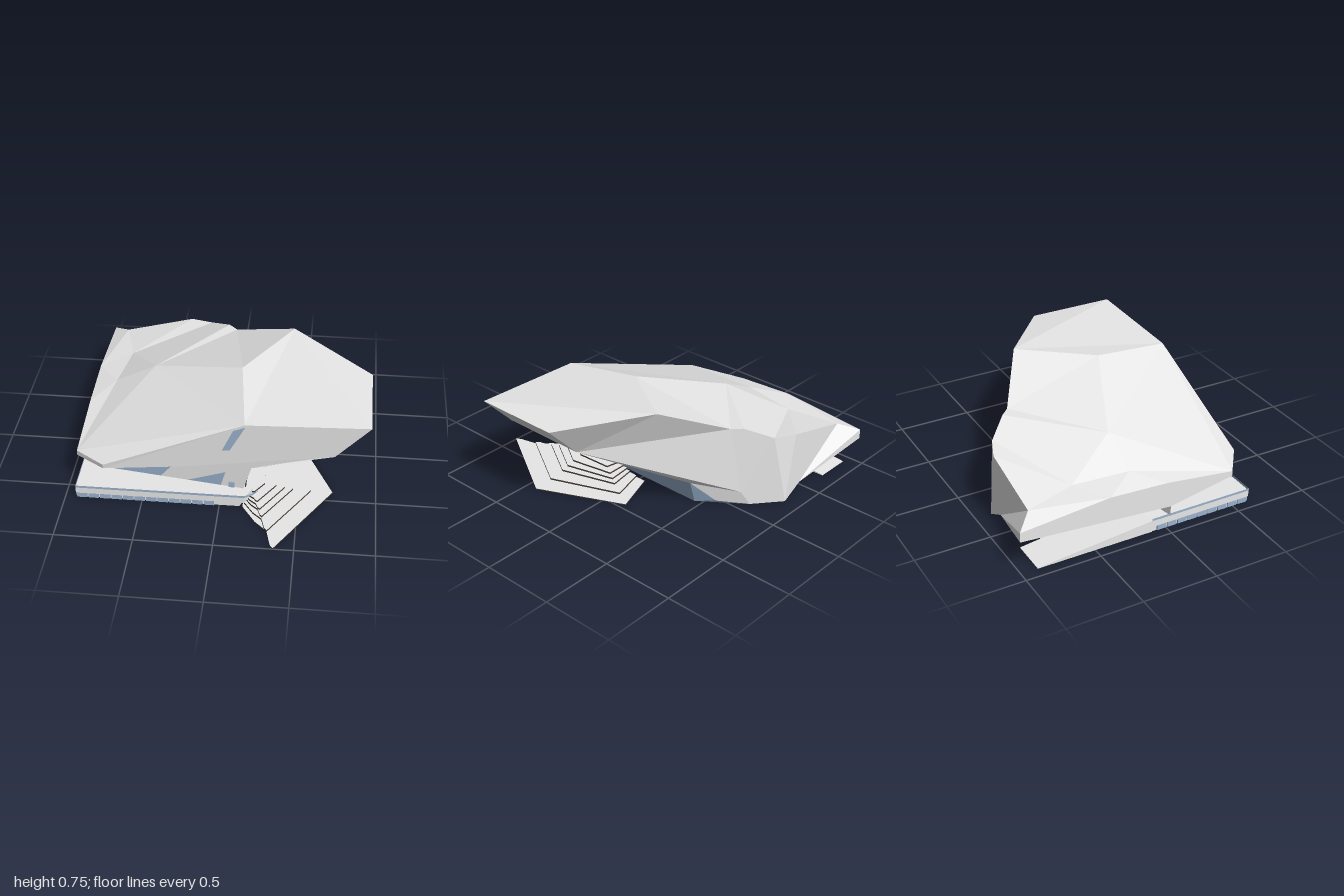
import * as THREE from 'three';

const mat = (name, color) => {
  const m = new THREE.MeshStandardMaterial({ color, side: THREE.DoubleSide });
  m.name = name;
  return m;
};

// The front wall stands upright but runs back towards the right flank
const wall = (x, y) => [x, y, 0.505 + 0.145 * x];

// Shared corner points of the faceted shell and the walls below it
const P = {
  // upper surface
  A: [0.935, 0.68, 0.03], B: [0.935, 0.68, 0.625], C: [0.16, 0.655, 0.628],
  E2: [0.41, 0.745, -0.38], E3: [0, 0.56, -0.63], E6: [-0.06, 0.56, -0.69],
  E4: [-0.2, 0.485, -0.83], E5: [-0.35, 0.47, -0.89],
  M1: [-0.51, 0.52, -0.18], M2: [0.1, 0.72, 0.09], N: [-0.73, 0.37, -0.55], N1: [-0.78, 0.385, -0.18],
  K: [-0.82, 0.35, -0.89], T: [-0.935, 0.295, -1], W1: [-0.935, 0.35, -0.4], W2: [-0.935, 0.33, 0],
  F: [-0.935, 0.27, 0.48], H: [-0.74, 0.28, 0.625],
  // lower rim
  B0: [0.72, 0.45, 0.622], L: [0.72, 0.45, 0.02], V: [-0.22, 0.305, 0.622], H0: [-0.74, 0.25, 0.622],
  F0: [-0.935, 0.235, 0.48], X: [-0.935, 0.15, 0.03], T0: [-0.935, 0.23, -1], Q: [-0.42, 0.08, -0.89],
  G: [-0.27, 0, -0.89], G2: [-0.09, 0, -0.74], R: [-0.04, 0.1, -0.7],
  // wall heads
  B1: wall(0.72, 0.45), V1: wall(-0.22, 0.305), S1: wall(-0.76, 0.25), U0: wall(0.2, 0.26),
  U1: [0.2, 0.26, 0.45], U2: [0.2, 0.26, -0.02], U3: [0.17, 0.16, -0.45], U4: [0.05, 0.02, -0.57],
  S2: [-0.76, 0.15, 0], S3: [-0.66, 0.17, -0.74], S4: [-0.36, 0.1, -0.78],
  // wall feet and glazing corners
  D: wall(0.148, 0.08), D1: wall(0.174, 0.17), d0: wall(0, 0.08), g: wall(0.03, 0.19),
  e: wall(-0.22, 0.08), f: wall(-0.4, 0.08), f0: wall(-0.76, 0.08),
  p1: [0.174, 0.17, 0.45], p0: [0.142, 0.06, 0.45],
  b1: [0.125, 0, 0.45], b2: [0.125, 0, -0.02], b3: [0.123, 0, -0.45],
  s2: [-0.76, 0.04, 0], x2: [-0.93, 0.06, 0.03], s3: [-0.66, 0, -0.74],
};

// Flat-shaded mesh from polygons, each fanned from its first corner
function facets(name, polygons, material) {
  const pos = [];
  for (const poly of polygons) {
    const c = typeof poly === 'string' ? poly.split(' ').map((k) => P[k]) : poly;
    for (let i = 1; i < c.length - 1; i++) pos.push(...c[0], ...c[i], ...c[i + 1]);
  }
  const geo = new THREE.BufferGeometry();
  geo.setAttribute('position', new THREE.Float32BufferAttribute(pos, 3));
  geo.computeVertexNormals();
  const mesh = new THREE.Mesh(geo, material);
  mesh.name = name;
  return mesh;
}

// Horizontal slab from an [x, z] outline, with an optional hole
function slab(name, outline, y0, y1, materials, hole) {
  const flat = (pts) => pts.map(([x, z]) => new THREE.Vector2(x, -z));
  const shape = new THREE.Shape(flat(outline));
  if (hole) shape.holes.push(new THREE.Path(flat(hole)));
  const geo = new THREE.ExtrudeGeometry(shape, { depth: y1 - y0, bevelEnabled: false });
  geo.rotateX(-Math.PI / 2).translate(0, y0, 0);
  const mesh = new THREE.Mesh(geo, materials);
  mesh.name = name;
  return mesh;
}

function box(name, size, at, material) {
  const mesh = new THREE.Mesh(new THREE.BoxGeometry(...size), material);
  mesh.position.set(...at);
  mesh.name = name;
  return mesh;
}

export function createModel() {
  const model = new THREE.Group();
  model.name = 'building';
  const pale = mat('paleCladding', 0xe8e8e8);
  const glass = mat('blueGlass', 0x99b1cd);
  const dark = mat('darkBrown', 0x4b4038);

  // Faceted roof
  model.add(facets('roof', [
    'E2 C B A', 'E2 M2 C', 'M2 M1 C', 'M1 F C', 'F H C',
    'E2 E3 M2', 'M2 E3 M1', 'E3 E6 M1', 'E6 N M1', 'M1 N N1', 'E6 E4 N', 'E4 E5 N', 'E5 K N',
    'N K W1', 'K T W1', 'N W1 N1', 'N1 W1 W2', 'N1 W2 F', 'M1 N1 F',
  ], pale));
  // Outer sides of the shell
  model.add(facets('shellSides', [
    'C H H0 V B0 B', 'H F F0 H0', 'A B B0 L', 'X T0 T W1 W2 F F0',
    'A L E2', 'E2 L E3', 'L R E3', 'E3 R E6', 'E6 R E4', 'E4 R G2 G', 'E4 G E5',
    'K E5 G Q', 'K Q T', 'T Q T0',
  ], pale));
  // Undersides of the overhangs
  model.add(facets('soffit', [
    'B0 B1 U0 U1 U2 L', 'L U2 U3', 'L U3 R', 'R U3 U4 G2',
    'V V1 B1 B0', 'H0 S1 V1 V', 'F0 X S2 S1', 'F0 S1 H0',
    'X T0 S3 S2', 'T0 Q S4 S3', 'Q G S4',
  ], pale));

  // Walls and glazing under the shell
  model.add(facets('frontWall', ['V1 f e g', 'V1 g B1', 'B1 g U0', 'g d0 D D1 U0'], pale));
  model.add(facets('frontGlazing', ['S1 f0 f V1', 'e d0 g'], glass));
  model.add(facets('cornerWall', ['U0 D1 p1 U1'], pale));
  model.add(facets('cornerGlazing', ['D1 D p0 p1'], glass));
  model.add(facets('sideGlazing', ['U1 b1 b2 U2', 'U2 b2 b3 U3', 'U3 b3 U4', 'U4 b3 G2'], glass));
  model.add(facets('cornerPillar', [
    [[0.203, 0.26, 0.455], [0.203, 0.26, 0.4], [0.128, 0, 0.4], [0.128, 0, 0.455]],
    [[0.203, 0.26, 0.455], [0.16, 0.26, 0.455], [0.09, 0, 0.455], [0.128, 0, 0.455]],
  ], pale));
  model.add(facets('rearWalls', ['S1 S2 s2 f0', 'X S2 s2 x2', 'S2 S3 s3 s2'], pale));
  model.add(facets('fasciaWindow', [
    [[0.09, 0.61, 0.631], [0.165, 0.64, 0.631], [0.07, 0.46, 0.631], [0.02, 0.455, 0.631]],
  ], glass));
  model.add(box('smallWindow', [0.04, 0.04, 0.008], [0.07, 0.1, 0.519], glass));
  model.add(box('sideDoor', [0.008, 0.045, 0.04], [0.16, 0.1, 0.49], dark));
  model.add(box('rearDoor', [0.008, 0.06, 0.045], [-0.667, 0.12, -0.64], dark));

  // Terrace, ground floor and rear ramp
  model.add(slab('terrace', [[-0.93, 0.62], [0.16, 0.62], [0.21, 0.52], [0.13, 0.44], [-0.7, 0.34], [-0.3, -0.1], [-0.93, -0.1]], 0.035, 0.08, pale));
  model.add(slab('terraceBase', [[-0.925, 0.61], [0.13, 0.61], [0.16, 0.52], [0.12, 0.44], [-0.7, 0.34], [-0.3, -0.1], [-0.925, -0.1]], 0, 0.035, pale));
  model.add(slab('groundFloor', [[-0.54, -0.1], [-0.3, -0.1], [-0.1, -0.32], [-0.14, -0.72], [-0.3, -0.82], [-0.54, -0.78]], 0, 0.008, pale));
  const r = [[-0.93, 0.08, -0.1], [-0.66, 0.08, -0.1], [-0.69, 0.004, -0.89], [-0.93, 0.004, -0.89]];
  const q = r.map(([x, , z]) => [x, 0, z]);
  model.add(facets('rearRamp', [r, q, ...r.map((p, i) => [p, r[(i + 1) % 4], q[(i + 1) % 4], q[i]])], pale));

  // Glass rail along the terrace edge, stepping down beside the stairs
  const rail = [[-0.93, 0.078, -0.1], [-0.93, 0.078, 0.622], [0.16, 0.078, 0.622], [0.21, 0.055, 0.56], [0.265, 0.03, 0.48]];
  model.add(facets('terraceRail', rail.slice(1).map((b, i) => {
    const a = rail[i];
    return [a, b, [b[0], b[1] + 0.016, b[2]], [a[0], a[1] + 0.016, a[2]]];
  }), glass));

  // Low windows under the terrace, on the front and the right flank
  const lowWindows = new THREE.Group();
  lowWindows.name = 'lowWindows';
  for (let i = 0; i < 12; i++) {
    lowWindows.add(box('lowWindow', [0.066, 0.034, 0.008], [-0.89 + i * 0.075, 0.0175, 0.615], glass));
  }
  for (let i = 0; i < 9; i++) {
    lowWindows.add(box('lowWindow', [0.008, 0.034, 0.066], [-0.928, 0.0175, 0.57 - i * 0.075], glass));
  }
  model.add(lowWindows);

  // Fan-shaped stairs: hollow steps shrinking from the ground to the landing
  const low = [[0.15, 0.62], [0.24, 0.76], [0.32, 0.84], [0.35, 0.97], [0.37, 1], [0.72, 0.42], [0.46, -0.15], [0.17, -0.05]];
  const high = [[0.16, 0.5], [0.18, 0.52], [0.2, 0.53], [0.21, 0.53], [0.22, 0.53], [0.28, 0.44], [0.27, 0.2], [0.17, 0.18]];
  const ring = (t) => low.map(([x, z], j) => [x + (high[j][0] - x) * t, z + (high[j][1] - z) * t]);
  const levels = [0, 0.32, 0.58, 0.7, 0.83, 1];
  const stairs = new THREE.Group();
  stairs.name = 'stairs';
  levels.forEach((t, i) => {
    const hole = i < levels.length - 1 ? ring(levels[i + 1] + 0.04) : null;
    stairs.add(slab('step', ring(t), i ? i * 0.012 - 0.006 : 0, i * 0.012 + 0.006, [pale, dark], hole));
  });
  model.add(stairs);
  return model;
}
